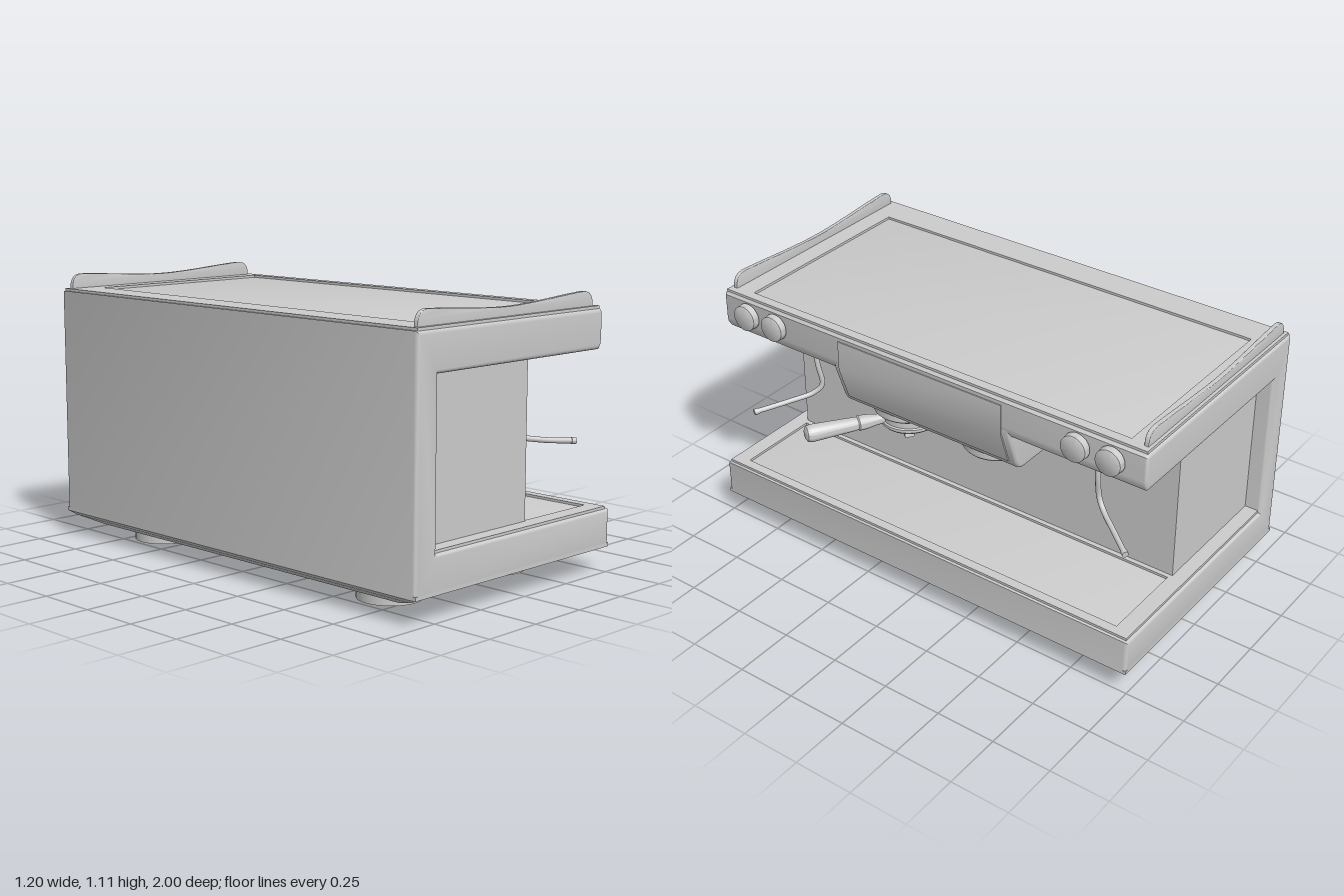
import * as THREE from 'three';
import { toCreasedNormals } from 'three/addons/utils/BufferGeometryUtils.js';
import { ConvexGeometry } from 'three/addons/geometries/ConvexGeometry.js';

const mat = new THREE.MeshStandardMaterial({ color: 0xcccccc });
const matDouble = new THREE.MeshStandardMaterial({ color: 0xcccccc, side: THREE.DoubleSide });

export function createModel() {
  const model = new THREE.Group();

  const add = (name, geometry, x = 0, y = 0, z = 0, parent = model, material = mat) => {
    const mesh = new THREE.Mesh(geometry, material);
    mesh.name = name;
    mesh.position.set(x, y, z);
    parent.add(mesh);
    return mesh;
  };
  const polygon = (pts) => new THREE.Shape(pts.map(([x, y]) => new THREE.Vector2(x, y)));
  // side profile swept along z from z0 to z1, with rounded rims
  const sweep = (shape, z0, z1, bevel) => {
    const g = new THREE.ExtrudeGeometry(shape, {
      depth: z1 - z0 - 2 * bevel, bevelEnabled: bevel > 0, bevelSize: bevel,
      bevelThickness: bevel, bevelOffset: -bevel, bevelSegments: 3, curveSegments: 24,
    });
    g.translate(0, 0, z0 + bevel);
    return toCreasedNormals(g, 0.6);
  };
  // flat rectangular rim around a shallow recess
  const rim = (x0, x1, z, ix0, ix1, iz0, iz1, height) => {
    const shape = polygon([[x0, -z], [x1, -z], [x1, z], [x0, z]]);
    shape.holes.push(polygon([[ix0, -iz1], [ix0, -iz0], [ix1, -iz0], [ix1, -iz1]]));
    const g = new THREE.ExtrudeGeometry(shape, { depth: height, bevelEnabled: false });
    return g.rotateX(-Math.PI / 2);
  };
  const lathe = (pts) => toCreasedNormals(
    new THREE.LatheGeometry(pts.map(([r, y]) => new THREE.Vector2(r, y)), 40), 0.6);

  // C-shaped housing: base, back wall and hood
  add('housing', sweep(polygon([
    [-0.6, 0.1], [0.513, 0.1], [0.513, 0.25], [-0.49, 0.25], [-0.49, 0.88],
    [0.425, 0.88], [0.437, 0.9], [0.44, 0.92], [0.44, 1.025], [0.43, 1.036], [-0.6, 1.036],
  ]), -1, 1, 0.015));

  // tapered underside
  const hull = [];
  for (const [y, x0, x1, z] of [[0.115, -0.6, 0.513, 1], [0.1, -0.6, 0.513, 1], [0.085, -0.585, 0.49, 0.96], [0.05, -0.52, 0.41, 0.85]])
    for (const x of [x0, x1]) for (const s of [-1, 1]) hull.push(new THREE.Vector3(x, y, s * z));
  add('underside', new ConvexGeometry(hull));

  // raised rims of the cup warmer and the drip tray
  add('cupWarmerRim', rim(-0.59, 0.43, 0.99, -0.46, 0.39, -0.9, 0.88, 0.012), 0, 1.034, 0);
  add('dripTrayRim', rim(-0.49, 0.5, 0.988, 0.1, 0.46, -0.92, 0.92, 0.012), 0, 0.248, 0);

  // inner cabinet
  add('cabinet', new THREE.BoxGeometry(0.58, 0.65, 1.86), -0.21, 0.565, 0);

  // brew head casing and its front panel
  add('brewCasing', sweep(polygon([
    [0.08, 0.92], [0.08, 0.72], [0.095, 0.7], [0.35, 0.7], [0.372, 0.712],
    [0.388, 0.74], [0.438, 0.885], [0.438, 0.92],
  ]), -0.41, 0.43, 0.012));
  add('frontPanel', sweep(polygon([
    [0.42, 1.01], [0.42, 0.88], [0.37, 0.74], [0.394, 0.74], [0.444, 0.885], [0.444, 1.01],
  ]), -0.375, 0.4, 0));

  // wavy cup rails
  const rail = new THREE.Shape();
  rail.moveTo(-0.575, 1.04);
  rail.lineTo(-0.575, 1.06);
  rail.bezierCurveTo(-0.57, 1.09, -0.555, 1.106, -0.52, 1.105);
  rail.bezierCurveTo(-0.38, 1.1, -0.24, 1.081, -0.09, 1.081);
  rail.bezierCurveTo(0.06, 1.081, 0.2, 1.098, 0.34, 1.104);
  rail.bezierCurveTo(0.38, 1.106, 0.4, 1.09, 0.403, 1.06);
  rail.lineTo(0.403, 1.04);
  for (const s of [-1, 1]) add('cupRail', sweep(rail, s * 0.968 - 0.009, s * 0.968 + 0.009, 0.002));

  // open ring feet
  for (const x of [-0.355, 0.235]) for (const z of [-0.65, 0.65])
    add('foot', new THREE.CylinderGeometry(0.126, 0.126, 0.055, 40, 1, true), x, 0.0275, z, model, matDouble);

  // control knobs
  for (const z of [0.865, 0.72, -0.71, -0.857]) {
    const knob = add('knob', lathe([[0.045, -0.01], [0.045, 0.004], [0.055, 0.006], [0.053, 0.034], [0.048, 0.037], [0, 0.037]]), 0.44, 0.969, z);
    knob.rotation.z = -Math.PI / 2;
  }

  // brew group rings
  for (const z of [0.235, -0.205])
    add('groupRing', lathe([[0, 0.025], [0.095, 0.025], [0.105, 0], [0.134, 0], [0.139, 0.006], [0.139, 0.04]].map(([r, y]) => [r, y]),),
      0.225, 0.67, z, model, matDouble);

  // filter holder with handle
  const holder = new THREE.Group();
  holder.name = 'filterHolder';
  holder.position.set(0.22, 0.635, 0.235);
  holder.rotation.y = -0.56;
  model.add(holder);
  add('basket', lathe([[0, -0.03], [0.112, -0.03], [0.119, -0.022], [0.119, -0.01], [0.112, -0.006], [0.112, 0.05]]), 0, 0, 0, holder, matDouble);
  const handle = add('handle', lathe([
    [0, 0.1], [0.02, 0.1], [0.022, 0.14], [0.029, 0.18], [0.031, 0.215], [0.026, 0.22],
    [0.028, 0.235], [0.035, 0.39], [0.036, 0.41], [0.031, 0.428], [0.02, 0.435], [0, 0.435],
  ]), 0, 0, 0, holder);
  handle.rotation.z = -Math.PI / 2;

  // twin spout below the basket
  const spout = new THREE.Shape();
  spout.moveTo(-0.055, -0.08);
  spout.quadraticCurveTo(-0.05, -0.045, -0.018, -0.038);
  spout.lineTo(-0.018, -0.025);
  spout.lineTo(0.018, -0.025);
  spout.lineTo(0.018, -0.038);
  spout.quadraticCurveTo(0.05, -0.045, 0.055, -0.08);
  spout.lineTo(0.035, -0.076);
  spout.quadraticCurveTo(0, -0.04, -0.035, -0.076);
  add('spout', sweep(spout, -0.02, 0.02, 0.003).rotateY(Math.PI / 2), 0.02, 0, 0, holder);

  // steam wands with thicker tips
  const wands = [
    [[0.21, 0.9, 0.738], [0.212, 0.8, 0.744], [0.21, 0.68, 0.728], [0.2, 0.58, 0.72], [0.225, 0.545, 0.745], [0.32, 0.522, 0.81], [0.44, 0.511, 0.875]],
    [[0.21, 0.9, -0.655], [0.212, 0.8, -0.655], [0.21, 0.68, -0.657], [0.2, 0.585, -0.66], [0.215, 0.545, -0.69], [0.28, 0.523, -0.78], [0.355, 0.513, -0.875]],
  ];
  for (const pts of wands) {
    const path = new THREE.CatmullRomCurve3(pts.map((p) => new THREE.Vector3(...p)));
    add('steamWand', new THREE.TubeGeometry(path, 60, 0.011, 12));
    const end = path.getPoint(1), dir = path.getTangent(1);
    const tip = add('wandTip', new THREE.CylinderGeometry(0.013, 0.013, 0.02, 16), end.x, end.y, end.z);
    tip.quaternion.setFromUnitVectors(new THREE.Vector3(0, 1, 0), dir);
  }

  return model;
}
